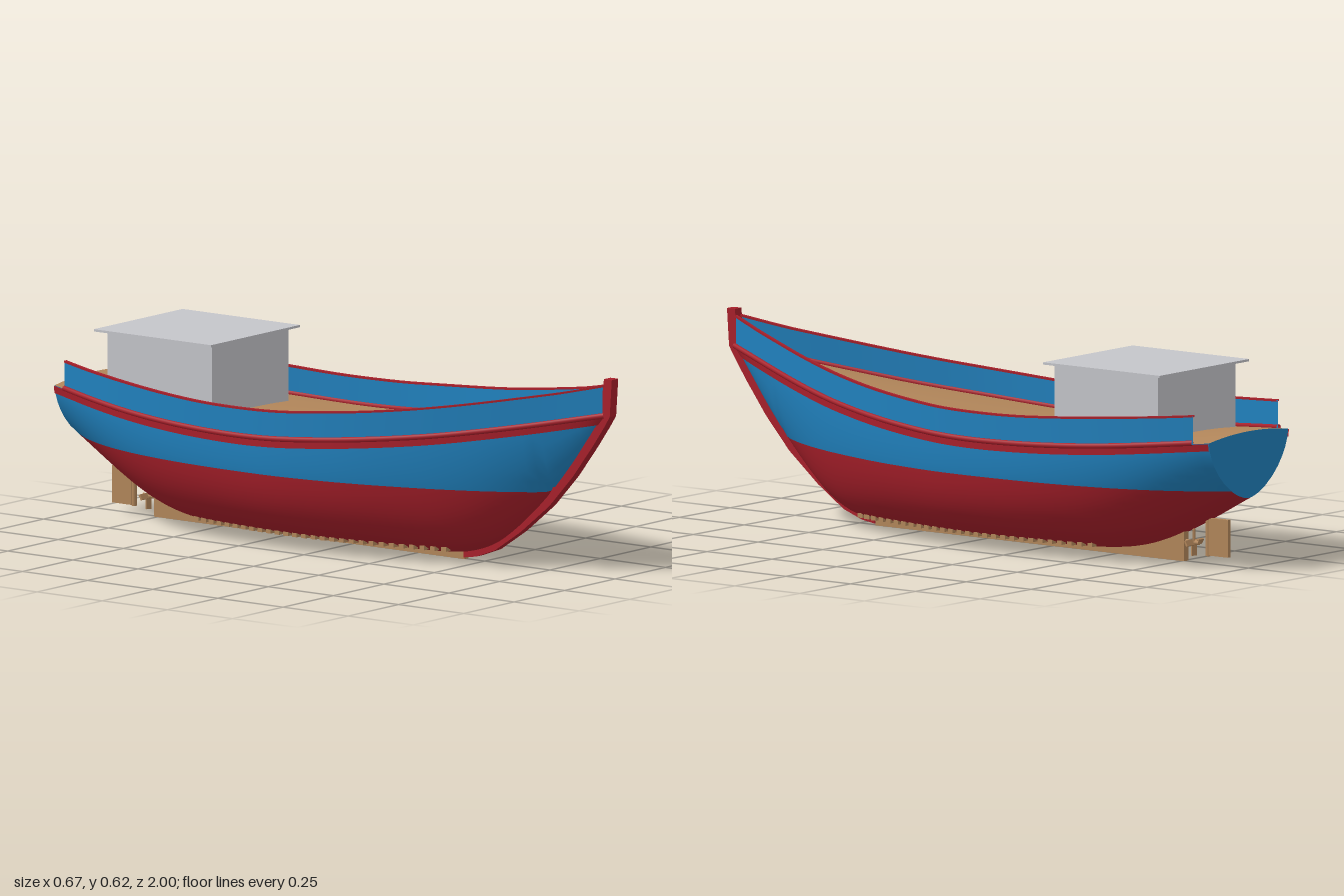
import * as THREE from 'three';
import { toCreasedNormals } from 'three/addons/utils/BufferGeometryUtils.js';

const mat = (name, color) => new THREE.MeshStandardMaterial({ name, color, side: THREE.DoubleSide });

// Smooth curve through [z, value] points, z ascending
function curve(p) {
  const slope = (i) => {
    const a = p[Math.max(i - 1, 0)], b = p[Math.min(i + 1, p.length - 1)];
    return (b[1] - a[1]) / (b[0] - a[0]);
  };
  return (z) => {
    let i = 0;
    while (i < p.length - 2 && z > p[i + 1][0]) i++;
    const h = p[i + 1][0] - p[i][0];
    const t = THREE.MathUtils.clamp((z - p[i][0]) / h, 0, 1), t2 = t * t, t3 = t2 * t;
    return (2 * t3 - 3 * t2 + 1) * p[i][1] + (t3 - 2 * t2 + t) * h * slope(i)
      + (3 * t2 - 2 * t3) * p[i + 1][1] + (t3 - t2) * h * slope(i + 1);
  };
}

// Hull lines: half-beam, keel, deck edge, bulwark top and section fullness
const BOW = 0.975, STERN = -1, WATER = 0.245;
const beam = curve([[-1, 0.195], [-0.8, 0.252], [-0.6, 0.293], [-0.4, 0.317], [-0.15, 0.325], [0, 0.317],
  [0.2, 0.285], [0.4, 0.23], [0.6, 0.16], [0.8, 0.08], [0.975, 0.012]]);
const keel = curve([[-1, 0.215], [-0.8, 0.11], [-0.7, 0.065], [-0.6, 0.035], [-0.5, 0.023], [-0.3, 0.021], [0.2, 0.021],
  [0.43, 0.024], [0.54, 0.055], [0.62, 0.105], [0.73, 0.2], [0.82, 0.295], [0.9, 0.395], [0.975, 0.495]]);
const sheer = curve([[-1, 0.405], [-0.6, 0.369], [-0.25, 0.355], [0, 0.362], [0.4, 0.4], [0.7, 0.447], [0.975, 0.5]]);
const top = curve([[-1, 0.491], [-0.8, 0.474], [-0.4, 0.447], [-0.2, 0.443], [0, 0.45], [0.4, 0.49], [0.8, 0.557], [0.975, 0.595]]);
const fullness = curve([[-1, 1.65], [-0.6, 2.2], [-0.2, 2.7], [0.1, 2.7], [0.45, 2.3], [0.7, 1.8], [0.975, 1.3]]);

// Half-width of the hull at height y
function halfWidth(z, y) {
  const t = THREE.MathUtils.clamp((y - keel(z)) / (sheer(z) - keel(z)), 0, 1), p = fullness(z);
  return beam(z) * Math.pow(1 - Math.pow(1 - t, p), 1 / p);
}

// Stations from bow to stern
const stations = (z0, z1, n = 72) => Array.from({ length: n + 1 }, (_, i) => z0 + (z1 - z0) * i / n);

// Skin over rows of [x, y]; groups = [[number of strips, material index]]
function loft(zs, section, groups) {
  const rows = zs.map(section), n = rows[0].length, index = [];
  for (let j = 0; j < n - 1; j++)
    for (let i = 0; i < zs.length - 1; i++) {
      const a = i * n + j, b = a + n;
      index.push(a, b, a + 1, b, b + 1, a + 1);
    }
  const g = new THREE.BufferGeometry();
  g.setAttribute('position', new THREE.Float32BufferAttribute(
    rows.flatMap((r, i) => r.flatMap(([x, y]) => [x, y, zs[i]])), 3));
  g.setIndex(index);
  let start = 0;
  for (const [strips, m] of groups || []) {
    const count = strips * (zs.length - 1) * 6;
    g.addGroup(start, count, m);
    start += count;
  }
  g.computeVertexNormals();
  return g;
}

// Full hull section from the right deck edge round the keel to the left
const LOW = 14, HIGH = 6;
function hullSection(z) {
  const k = keel(z), s = sheer(z), w = THREE.MathUtils.clamp(WATER, k, s), half = [];
  for (let i = 0; i <= LOW; i++) half.push(k + (w - k) * (i / LOW) ** 2);
  for (let i = 1; i <= HIGH; i++) half.push(w + (s - w) * (i / HIGH) ** (w > WATER ? 2 : 1));
  const pts = half.map((y) => [halfWidth(z, y), y]);
  return [...pts.slice(1).reverse().map(([x, y]) => [-x, y]), ...pts];
}

// Cambered deck section from left to right
function deckSection(z) {
  return Array.from({ length: 11 }, (_, i) => {
    const u = 1 - i / 5;
    return [u * beam(z), sheer(z) + 0.015 * (1 - u * u)];
  });
}

// Rectangular strip that follows the hull side
function strip(side, yTop, height, out, inner, z0, z1) {
  return toCreasedNormals(loft(stations(z0, z1), (z) => {
    const a = yTop(z), b = a - height, xa = halfWidth(z, a), xb = halfWidth(z, b);
    const r = [[xa + out, a], [xa - inner, a], [xb - inner, b], [xb + out, b], [xa + out, a]];
    return r.map(([x, y]) => [side * x, y]);
  }), 0.6);
}

export function createModel() {
  const blue = mat('blue paint', 0x2080bc), red = mat('red paint', 0xa81f2a);
  const wood = mat('wood', 0xb2865a), grey = mat('cabin grey', 0xc4c5ca);
  const model = new THREE.Group();
  model.name = 'fishingBoat';
  const add = (name, geometry, material, x = 0, y = 0, z = 0) => {
    const m = new THREE.Mesh(geometry, material);
    m.name = name;
    m.position.set(x, y, z);
    model.add(m);
    return m;
  };
  const box = (name, w, h, d, material, x, y, z) => add(name, new THREE.BoxGeometry(w, h, d), material, x, y, z);

  // Hull, deck and transom
  const all = stations(BOW, STERN);
  add('hull', loft(all, hullSection, [[HIGH, 0], [2 * LOW, 1], [HIGH, 0]]), [blue, red]);
  add('deck', loft(all, deckSection), wood);
  const transom = new THREE.Shape([...hullSection(STERN), ...deckSection(STERN).slice(1, -1)]
    .map(([x, y]) => new THREE.Vector2(x, y)));
  add('transom', new THREE.ShapeGeometry(transom), blue, 0, 0, STERN);

  // Bulwarks and rails on both sides
  for (const side of [1, -1]) {
    const label = side > 0 ? 'left' : 'right';
    add(label + 'Bulwark', loft(stations(BOW, -0.95),
      (z) => [[side * beam(z), sheer(z)], [side * beam(z), top(z)]]), blue);
    add(label + 'CapRail', strip(side, (z) => top(z) + 0.002, 0.006, 0.003, 0.009, BOW, -0.95), red);
    add(label + 'RubbingBand', strip(side, (z) => sheer(z) - 0.002, 0.022, 0.004, 0.004, 0.965, STERN), red);
    const path = new THREE.CatmullRomCurve3(stations(0.97, -0.95, 30)
      .map((z) => new THREE.Vector3(side * (beam(z) + 0.002), sheer(z) + 0.003, z)));
    add(label + 'RubRail', new THREE.TubeGeometry(path, 72, 0.0085, 8), red);

    // Bilge keel made of short blocks
    for (let i = 0; i < 28; i++) {
      const z = 0.42 - i * 0.034;
      box(label + 'BilgeBlock', 0.022, 0.014, 0.018, wood, side * halfWidth(z, 0.043), 0.042, z);
    }
  }

  // Stem: curved bar up the bow, extruded across the boat
  const outer = [[0.43, 0.006], [0.48, 0.014], [0.55, 0.04], [0.65, 0.108], [0.76, 0.2], [0.85, 0.3], [0.925, 0.4],
    [0.97, 0.465], [0.992, 0.5], [1, 0.615]];
  const inner = [[0.97, 0.615], [0.955, 0.5], [0.88, 0.4], [0.8, 0.3], [0.7, 0.2], [0.6, 0.12], [0.5, 0.06], [0.43, 0.035]];
  const stemShape = new THREE.Shape([...outer, ...inner].map(([z, y]) => new THREE.Vector2(-z, y)));
  const stem = new THREE.ExtrudeGeometry(stemShape, { depth: 0.032, bevelEnabled: false });
  stem.translate(0, 0, -0.016).rotateY(Math.PI / 2);
  add('stem', stem, red);

  // Keel with deadwood rising to the stern
  const keelShape = new THREE.Shape([[0.43, 0], [0.43, 0.03], [-0.5, 0.03], [-0.64, 0.055], [-0.76, 0.1], [-0.76, 0]]
    .map(([z, y]) => new THREE.Vector2(-z, y)));
  const keelGeo = new THREE.ExtrudeGeometry(keelShape, { depth: 0.022, bevelEnabled: false });
  keelGeo.translate(0, 0, -0.011).rotateY(Math.PI / 2);
  add('keel', keelGeo, wood);

  // Propeller and rudder
  const shaft = add('propellerShaft', new THREE.CylinderGeometry(0.007, 0.007, 0.06, 10), wood, 0, 0.06, -0.78);
  shaft.rotation.x = Math.PI / 2;
  for (let i = 0; i < 4; i++) {
    const a = i * Math.PI / 2;
    const blade = box('propellerBlade', 0.018, 0.038, 0.006, wood, Math.sin(a) * 0.022, 0.06 + Math.cos(a) * 0.022, -0.79);
    blade.rotation.set(0, 0.5, -a, 'ZYX');
  }
  add('rudderStock', new THREE.CylinderGeometry(0.008, 0.008, 0.13, 10), wood, 0, 0.088, -0.845);
  box('rudder', 0.014, 0.115, 0.075, wood, 0, 0.083, -0.888);

  // Wheelhouse
  box('cabin', 0.38, 0.233, 0.4, grey, 0, 0.4765, -0.6);
  box('cabinRoof', 0.44, 0.007, 0.45, grey, 0, 0.5965, -0.605);
  return model;
}
